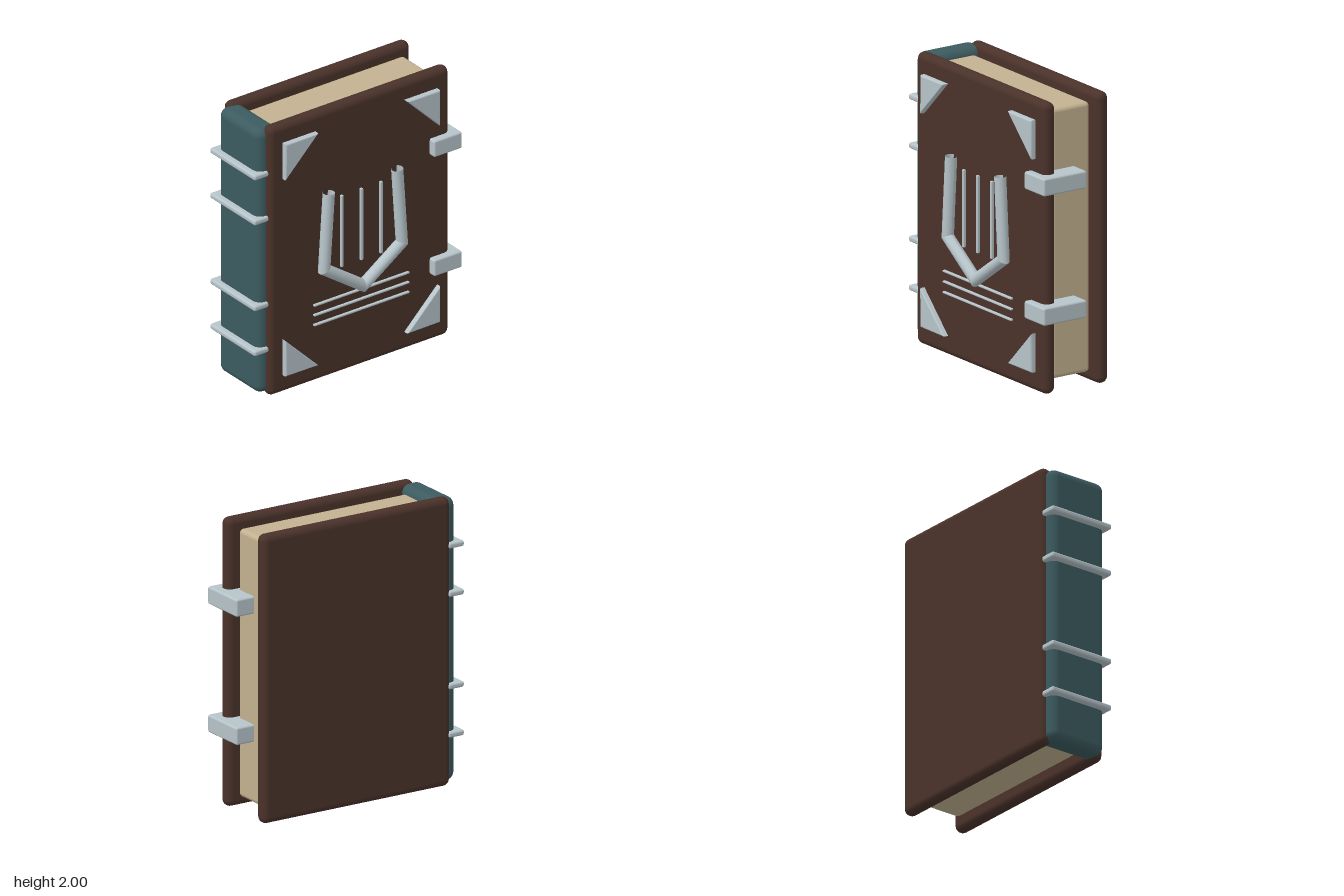
import * as THREE from 'three';
import { RoundedBoxGeometry } from 'three/addons/geometries/RoundedBoxGeometry.js';

const paint = (name, color, side = THREE.FrontSide) => {
  const m = new THREE.MeshStandardMaterial({ color, side });
  m.name = name;
  return m;
};

// Sweep a round section along a flat polyline, with mitred joints and open ends
function mitredTube(points, radius, sides) {
  const pos = [], index = [], at = [];
  const dirs = points.slice(1).map((p, i) => p.clone().sub(points[i]).normalize());
  dirs.forEach((d, s) => {
    for (const end of [0, 1]) {
      const p = points[s + end];
      const other = dirs[end ? s + 1 : s - 1] || d;
      const t = d.clone().add(other).normalize();
      const stretch = radius / t.dot(d);
      at.push(pos.length / 3);
      for (let i = 0; i <= sides; i++) {
        const a = (i / sides) * Math.PI * 2;
        const m = Math.cos(a) * stretch;
        pos.push(p.x - t.y * m, p.y + t.x * m, Math.sin(a) * radius);
      }
    }
    const a0 = at[s * 2], b0 = at[s * 2 + 1];
    for (let i = 0; i < sides; i++) {
      index.push(a0 + i, a0 + i + 1, b0 + i, a0 + i + 1, b0 + i + 1, b0 + i);
    }
  });
  const g = new THREE.BufferGeometry();
  g.setAttribute('position', new THREE.Float32BufferAttribute(pos, 3));
  g.setIndex(index);
  g.computeVertexNormals();
  return g;
}

export function createModel() {
  const leather = paint('brown leather', 0x4a322a);
  const cloth = paint('teal cloth', 0x3c5b60);
  const paper = paint('cream paper', 0xc3b190);
  const metal = paint('pale metal', 0xb6c4c9);
  const openMetal = paint('pale metal tube', 0xb6c4c9, THREE.DoubleSide);

  const model = new THREE.Group();
  model.name = 'book';
  const body = new THREE.Group();
  body.name = 'turnedBook';
  body.rotation.y = 0.07;
  model.add(body);

  const add = (name, geometry, material, x, y, z) => {
    const mesh = new THREE.Mesh(geometry, material);
    mesh.name = name;
    mesh.position.set(x, y, z);
    body.add(mesh);
    return mesh;
  };
  const block = (name, material, w, h, d, r, x, y, z) =>
    add(name, new RoundedBoxGeometry(w, h, d, 4, r), material, x, y, z);

  const cx = 0.019; // middle of the covers

  // Covers, pages and spine
  block('frontCover', leather, 1.48, 2, 0.095, 0.046, cx, 1, 0.189);
  block('backCover', leather, 1.48, 2, 0.095, 0.046, cx, 1, -0.236);
  block('pages', paper, 1.36, 1.855, 0.31, 0.03, 0.005, 1.0025, -0.025);
  block('spine', cloth, 0.175, 1.965, 0.45, 0.06, -0.698, 1, -0.025);

  // Raised spine bands
  for (const y of [1.66, 1.325, 0.685, 0.35]) {
    block('spineBand', metal, 0.12, 0.04, 0.496, 0.015, -0.768, y, -0.03);
  }

  // Clasps on the opening edge
  for (const y of [1.45, 0.5625]) {
    block('clasp', metal, 0.23, 0.122, 0.346, 0.014, 0.707, y, 0.115);
  }

  // Triangular corner guards
  const bevel = 0.012;
  for (const sx of [-1, 1]) {
    for (const sy of [-1, 1]) {
      const tri = new THREE.Shape([
        new THREE.Vector2(sx * 0.634, sy * 0.865),
        new THREE.Vector2(sx * 0.364, sy * 0.865),
        new THREE.Vector2(sx * 0.634, sy * 0.597),
      ]);
      const guard = new THREE.ExtrudeGeometry(tri, {
        depth: 0.026, bevelEnabled: true, bevelThickness: bevel,
        bevelSize: bevel, bevelOffset: -bevel, bevelSegments: 3,
      });
      add('cornerGuard', guard, metal, cx, 1.004, 0.237);
    }
  }

  // Shield-shaped ornament
  const outline = [[-0.28, 1.4], [-0.318, 0.84], [0, 0.62], [0.318, 0.84], [0.28, 1.4]]
    .map(([x, y]) => new THREE.Vector2(x, y));
  add('shieldOutline', mitredTube(outline, 0.041, 16), openMetal, cx, 0, 0.272);

  // Thin bars inside and below the shield
  for (const x of [-0.16, 0, 0.16]) {
    block('uprightBar', metal, 0.022, 0.535, 0.022, 0.007, cx + x, 1.068, 0.254);
  }
  for (const y of [0.584, 0.511, 0.438]) {
    block('crossBar', metal, 0.78, 0.014, 0.022, 0.005, cx, y, 0.254);
  }

  return model;
}
